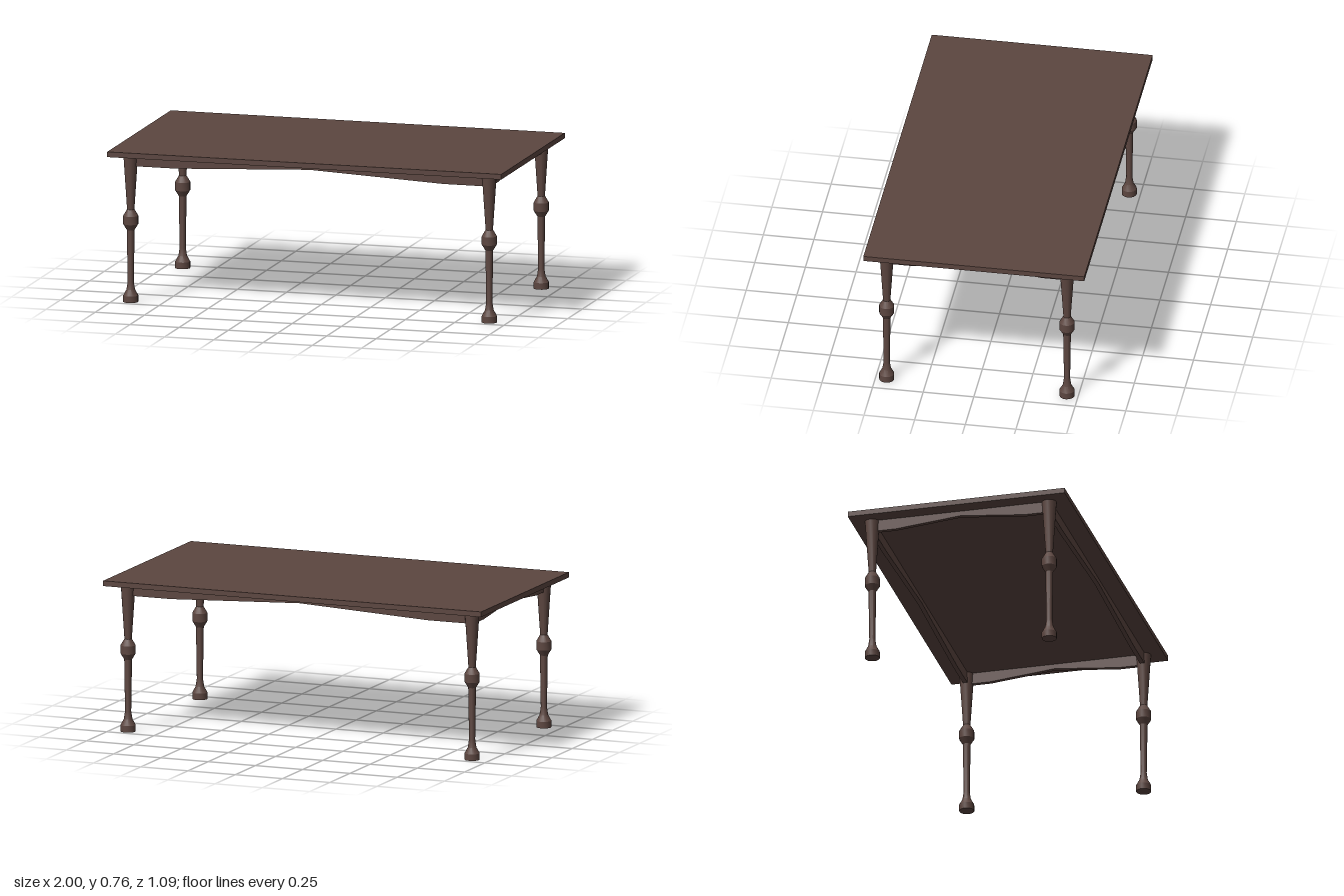
import * as THREE from 'three';
import { toCreasedNormals } from 'three/addons/utils/BufferGeometryUtils.js';

const TOP = 0.757, UNDER = 0.731;   // table top, upper and lower face
const LEG_X = 0.91, LEG_Z = 0.445;  // leg centres

// Turned leg: flared foot, slim shaft, central bulb, widening neck
const LEG_PROFILE = [
  [0, 0], [0.037, 0], [0.037, 0.032], [0.021, 0.061], [0.015, 0.1],
  [0.019, 0.357], [0.037, 0.386], [0.037, 0.427], [0.018, 0.459],
  [0.036, UNDER], [0, UNDER],
];

// Rail whose lower edge rises to a shallow peak in the middle
function apronGeometry(half, flatFrom, thickness) {
  const s = new THREE.Shape();
  s.moveTo(-half, UNDER);
  s.lineTo(-half, 0.675);
  s.lineTo(-flatFrom, 0.675);
  s.lineTo(0, 0.707);
  s.lineTo(flatFrom, 0.675);
  s.lineTo(half, 0.675);
  s.lineTo(half, UNDER);
  s.closePath();
  return new THREE.ExtrudeGeometry(s, { depth: thickness, bevelEnabled: false })
    .translate(0, 0, -thickness / 2);
}

export function createModel() {
  const group = new THREE.Group();
  const wood = new THREE.MeshStandardMaterial({ color: 0x5c4640 });
  wood.name = 'dark brown wood';

  const add = (name, geometry, x = 0, y = 0, z = 0, turn = 0) => {
    const mesh = new THREE.Mesh(geometry, wood);
    mesh.name = name;
    mesh.position.set(x, y, z);
    mesh.rotation.y = turn;
    group.add(mesh);
  };

  // Table top
  add('tableTop', new THREE.BoxGeometry(2, TOP - UNDER, 1.09), 0, (TOP + UNDER) / 2, 0);

  // Four legs
  const points = LEG_PROFILE.map(([r, y]) => new THREE.Vector2(r, y));
  const leg = toCreasedNormals(new THREE.LatheGeometry(points, 16), 0.45);
  for (const [end, z] of [['front', LEG_Z], ['back', -LEG_Z]]) {
    add(end + 'LeftLeg', leg, LEG_X, 0, z);
    add(end + 'RightLeg', leg, -LEG_X, 0, z);
  }

  // Aprons between the legs
  const long = apronGeometry(LEG_X, 0.68, 0.022);
  const short = apronGeometry(LEG_Z, 0.325, 0.022);
  add('frontApron', long, 0, 0, LEG_Z);
  add('backApron', long, 0, 0, -LEG_Z);
  add('leftApron', short, LEG_X, 0, 0, Math.PI / 2);
  add('rightApron', short, -LEG_X, 0, 0, Math.PI / 2);

  return group;
}
